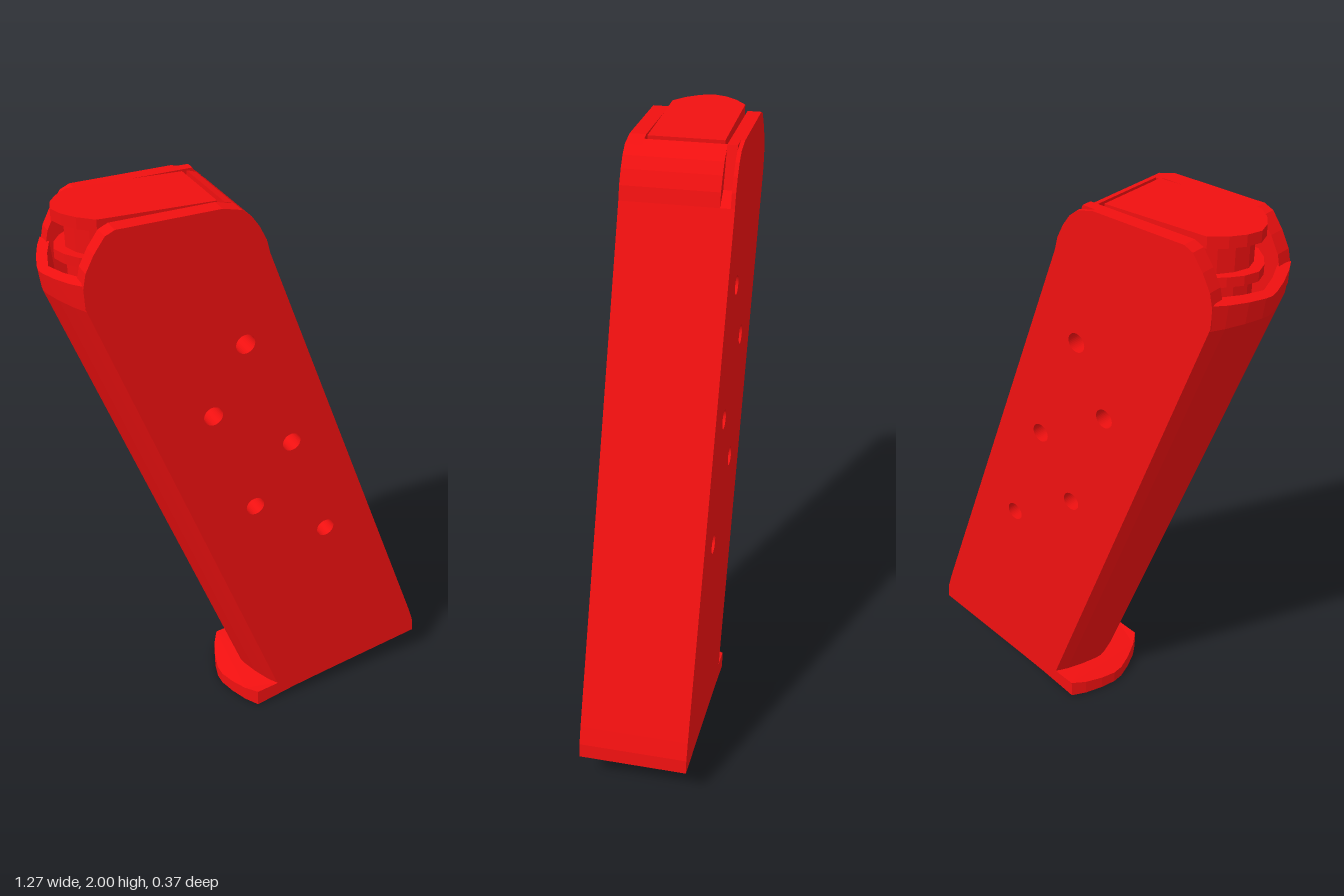
import * as THREE from 'three';

const red = new THREE.MeshStandardMaterial({ color: 0xf01010, side: THREE.DoubleSide });

// The whole body leans very slightly in z.
function addPart(group, name, geometry) {
  const p = geometry.attributes.position;
  for (let i = 0; i < p.count; i++) p.setZ(i, p.getZ(i) + 0.005 - 0.005 * p.getY(i));
  geometry.computeVertexNormals();
  const mesh = new THREE.Mesh(geometry, red);
  mesh.name = name;
  group.add(mesh);
}

const holes = [[-0.08, 1.54], [-0.19, 1.315], [0.085, 1.14], [-0.045, 0.925], [0.225, 0.745]];

// Side outline with the round witness holes, extruded between two depths.
function slab(outline, z0, z1) {
  const shape = new THREE.Shape(outline.map(([x, y]) => new THREE.Vector2(x, y)));
  for (const [x, y] of holes) {
    shape.holes.push(new THREE.Path().absarc(x, y, 0.032, 0, Math.PI * 2, true));
  }
  const g = new THREE.ExtrudeGeometry(shape, { depth: z1 - z0, bevelEnabled: false, curveSegments: 20 });
  return g.translate(0, 0, z0);
}

// Plan outline (x, z) lofted through levels; each level maps (x, z) to [x, y].
function loft(plan, levels) {
  let pts = plan.map(([x, z]) => new THREE.Vector2(x, z));
  if (THREE.ShapeUtils.area(pts) < 0) pts = pts.reverse();
  const rings = levels.map(f => pts.map(p => {
    const [x, y] = f(p.x, p.y);
    return [x, y, p.y];
  }));
  const out = [];
  for (let r = 0; r + 1 < rings.length; r++) {
    const lo = rings[r], hi = rings[r + 1];
    for (let i = 0; i < pts.length; i++) {
      const j = (i + 1) % pts.length;
      out.push(...lo[i], ...hi[i], ...hi[j], ...lo[i], ...hi[j], ...lo[j]);
    }
  }
  const top = rings[rings.length - 1];
  for (const [a, b, c] of THREE.ShapeUtils.triangulateShape(pts, [])) {
    out.push(...rings[0][a], ...rings[0][b], ...rings[0][c]);
    out.push(...top[a], ...top[c], ...top[b]);
  }
  const g = new THREE.BufferGeometry();
  g.setAttribute('position', new THREE.Float32BufferAttribute(out, 3));
  return g;
}

// Mirror a half plan (z >= 0, ending at z = 0) to the other side.
const mirrorPlan = half => [...half, ...half.filter(p => p[1] > 0).reverse().map(([x, z]) => [x, -z])];

export function createModel() {
  const model = new THREE.Group();
  model.name = 'magazine';

  const bottom = [[0.05, 0.08], [-0.03, 0.055], [-0.03, 0.005], [0.12, 0.035], [0.25, 0.055], [0.635, 0.11]];
  const rightEdge = [[0.63, 0.16], [0.61, 0.22], [0.0, 1.82]];
  const corner = [[-0.012, 1.865], [-0.035, 1.91], [-0.06, 1.945], [-0.09, 1.97], [-0.15, 1.985]];
  const leftCorner = [[-0.47, 1.985], [-0.5, 1.972], [-0.535, 1.925], [-0.562, 1.875], [-0.572, 1.83], [-0.57, 1.77]];
  const sideOutline = [...bottom, ...rightEdge, ...corner, ...leftCorner];
  const notchedOutline = [...bottom, ...rightEdge, [-0.05, 1.86], [-0.1, 1.985], ...leftCorner];

  // Side walls; the rear one has a small recess behind its skin
  addPart(model, 'frontWall', slab(sideOutline, 0.128, 0.181));
  addPart(model, 'rearWallSkin', slab(sideOutline, -0.181, -0.168));
  addPart(model, 'rearWallInner', slab(notchedOutline, -0.168, -0.135));

  // Core with the open pocket at the top
  const coreOutline = [...bottom, ...rightEdge, ...corner.slice(0, 4),
    [-0.12, 1.98], [-0.12, 1.72], [-0.55, 1.72]];
  addPart(model, 'core', slab(coreOutline, -0.135, 0.128));

  // Rounded spine along the slanted narrow side, with a thin rim at the top
  const spinePlan = [
    [0, 0.181], [-0.022, 0.14], [-0.046, 0.08], [-0.062, 0.025], [-0.066, 0],
    [-0.062, -0.025], [-0.046, -0.08], [-0.022, -0.14], [0, -0.181],
    [0.012, -0.13], [-0.015, -0.07], [-0.036, 0], [-0.015, 0.07], [0.012, 0.13],
  ];
  addPart(model, 'spine', loft(spinePlan, [
    x => [x + 0.057, 0.06],
    x => [x + 0.05, 0.08],
    x => [x - 0.566, 1.76],
    x => [x - 0.574, 1.84 + 0.25 * x],
  ]));

  // Projecting toe of the base plate
  const toe = mirrorPlan([[0.06, 0.181], [-0.03, 0.181], [-0.06, 0.135], [-0.085, 0.075], [-0.1, 0.02], [-0.1, 0]]);
  addPart(model, 'baseToe', loft(toe, [
    x => [x, 0.005 + 0.22 * Math.max(0, x + 0.03)],
    x => [x, 0.05 + 0.27 * Math.min(0.11, x + 0.1)],
  ]));

  // Follower: two pointed plates around a recessed block, sloping slightly down to the right
  const nose = inset => mirrorPlan([[-0.14, 0.122], [-0.5 + inset, 0.122], [-0.545 + inset, 0.085],
    [-0.575 + inset, 0.045], [-0.59 + inset, 0]]);
  const level = y => x => [x, y - 0.033 * (x + 0.59)];
  addPart(model, 'followerTop', loft(nose(0), [level(1.965), level(2.0)]));
  addPart(model, 'followerBlock', loft(nose(0.035), [level(1.72), level(1.97)]));
  addPart(model, 'followerLedge', loft(nose(0), [level(1.85), level(1.88)]));

  return model;
}
